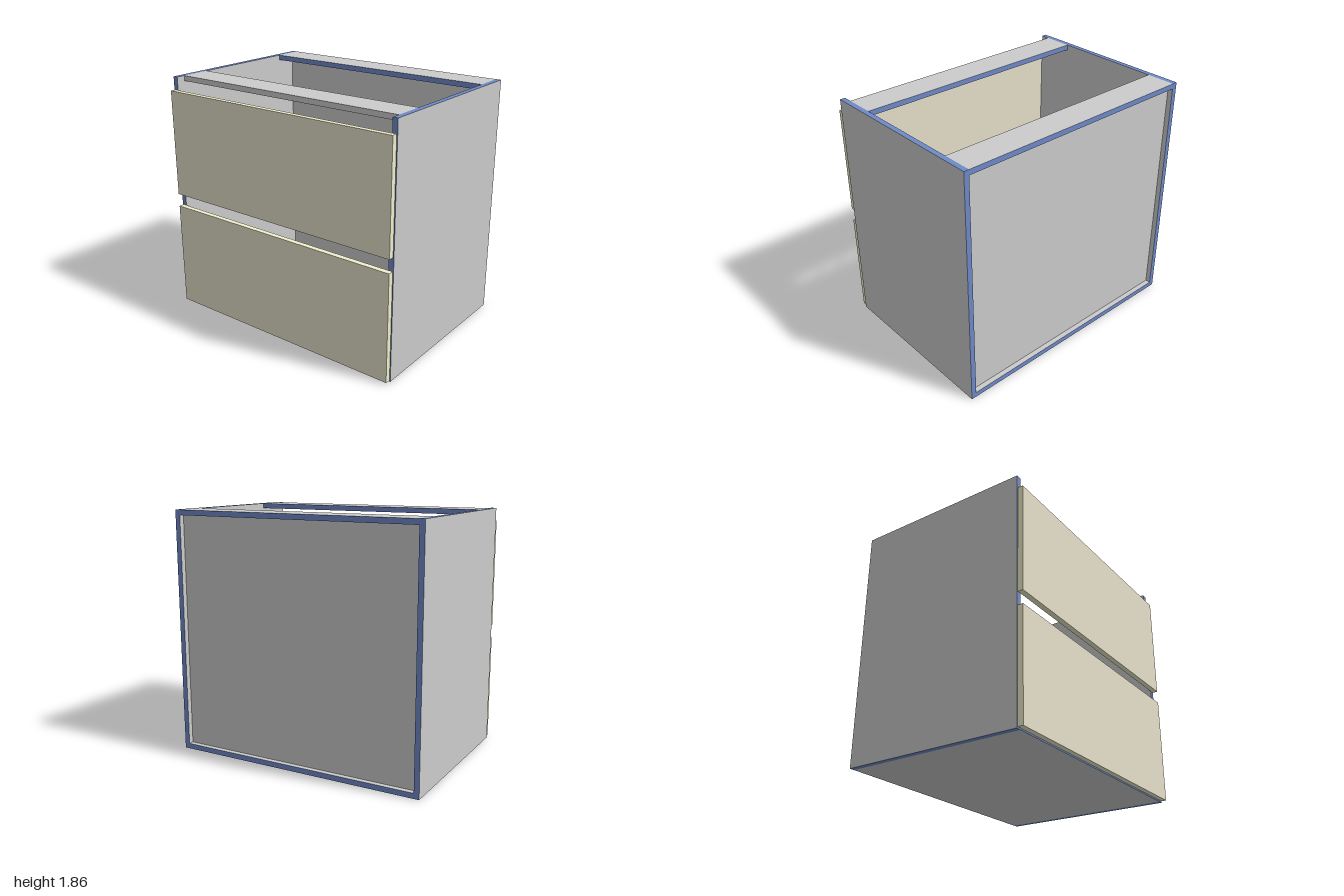
import * as THREE from 'three';

const mat = (color) => new THREE.MeshStandardMaterial({ color });

export function createModel() {
  const cabinet = new THREE.Group();
  cabinet.name = 'drawerCabinet';

  const grey = mat(0xcccccc);
  const blue = mat(0x6f8ac8);
  const cream = mat(0xe6e0cb);
  const creamEdge = mat(0xf0f0cc);

  // Box given by its extents; materials per axis pair, or six in the order +x -x +y -y +z -z
  function panel(name, [x0, x1], [y0, y1], [z0, z1], faces) {
    const mesh = new THREE.Mesh(
      new THREE.BoxGeometry(x1 - x0, y1 - y0, z1 - z0),
      faces.length === 3 ? faces.flatMap((m) => [m, m]) : faces
    );
    mesh.name = name;
    mesh.position.set((x0 + x1) / 2, (y0 + y1) / 2, (z0 + z1) / 2);
    cabinet.add(mesh);
  }

  const H = 1.86, T = 0.04, BACK = -0.71, FRONT = 0.67;
  const inner = [-1 + T, 1 - T];

  // Side panels with blue edge banding
  panel('leftSide', [1 - T, 1], [0, H], [BACK, FRONT], [grey, blue, blue]);
  panel('rightSide', [-1, -1 + T], [0, H], [BACK, FRONT], [grey, blue, blue]);

  // Bottom and recessed back
  panel('bottomPanel', inner, [0, T], [BACK, FRONT], [grey, grey, blue]);
  panel('backPanel', inner, [T, H - T], [-0.67, -0.65], [grey, grey, grey]);

  // Top rails; the front one has a plain front edge
  panel('backRail', inner, [H - T, H], [BACK, -0.48], [grey, grey, blue]);
  panel('frontRail', inner, [H - T, H], [0.37, 0.6], [grey, grey, grey, grey, grey, blue]);

  // Drawer fronts
  for (const [name, y] of [['lowerDrawerFront', [0.01, 0.835]], ['upperDrawerFront', [0.935, 1.76]]]) {
    panel(name, [-0.993, 0.993], y, [FRONT + 0.001, 0.712], [creamEdge, creamEdge, cream]);
  }

  return cabinet;
}
